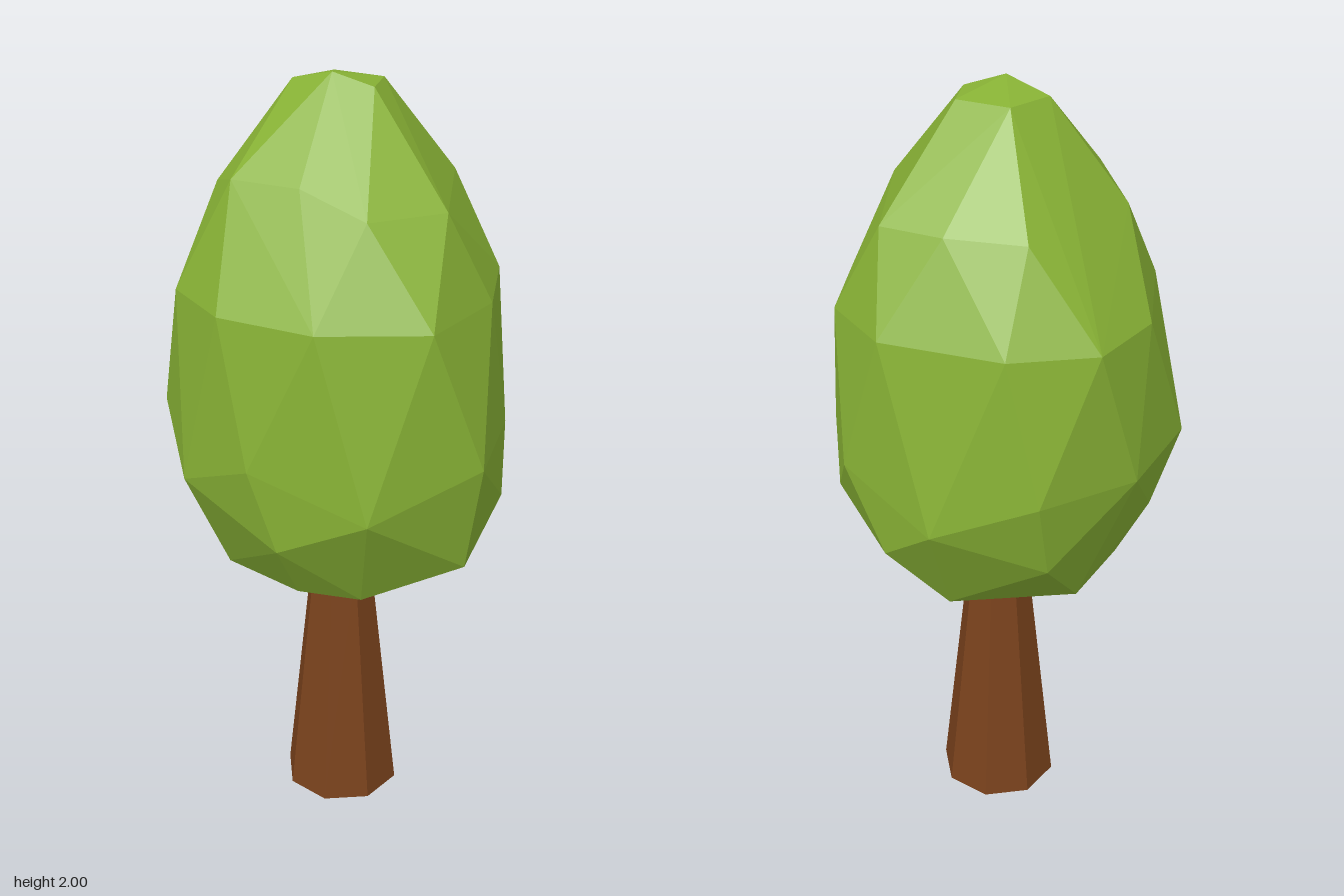
import * as THREE from 'three';
import { ConvexGeometry } from 'three/addons/geometries/ConvexGeometry.js';

const material = (color) => new THREE.MeshStandardMaterial({ color, flatShading: true });

// Irregular horizontal rings of the crown: height, then [x, z] corners
const crownRings = [
  [0.75, [[-0.31, -0.05], [-0.22, 0.17], [-0.10, 0.28], [0.26, 0.16], [0.24, -0.17], [-0.05, -0.31], [-0.25, -0.20]]],
  [0.84, [[0.13, 0.39]]],
  [0.92, [[-0.31, 0.24], [0.335, 0.235], [0.39, -0.12], [0.10, -0.40], [-0.30, -0.27]]],
  [1.03, [[-0.155, 0.41], [-0.435, -0.025], [0.35, -0.27]]],
  [1.13, [[0.135, 0.45], [-0.365, 0.20], [0.335, 0.235], [0.435, -0.01], [0.15, -0.435], [-0.12, -0.445], [-0.37, -0.295]]],
  [1.49, [[0, 0.43], [0.23, 0.31], [0.385, 0.10], [0.39, -0.12], [0.20, -0.365], [0, -0.45],
    [-0.20, -0.365], [-0.395, -0.12], [-0.385, 0.10], [-0.24, 0.31]]],
  [1.72, [[-0.09, 0.28], [0.11, 0.295], [0.32, -0.02], [0.235, -0.16], [0.10, -0.30], [-0.245, -0.195]]],
  [1.77, [[-0.285, -0.02], [-0.18, 0.125]]],
  [1.97, [[0.105, 0], [0.03, 0.09], [0.035, -0.12], [-0.09, -0.09]]],
  [2.0, [[-0.045, 0.025]]],
];

export function createModel() {
  const tree = new THREE.Group();
  tree.name = 'tree';

  // Tapered eight-sided trunk
  const trunkHeight = 0.69;
  const trunk = new THREE.Mesh(new THREE.CylinderGeometry(0.083, 0.158, trunkHeight, 8), material(0x7a421c));
  trunk.name = 'trunk';
  trunk.position.set(-0.003, trunkHeight / 2, -0.012);
  tree.add(trunk);

  // Faceted egg-shaped crown with a small flat underside around the trunk
  const points = crownRings.flatMap(([y, corners]) => corners.map(([x, z]) => new THREE.Vector3(x, y, z)));
  for (let i = 0; i < 8; i++) {
    const a = (i * Math.PI) / 4;
    points.push(new THREE.Vector3(0.085 * Math.sin(a), 0.68, 0.085 * Math.cos(a) - 0.01));
  }
  const crown = new THREE.Mesh(new ConvexGeometry(points), material(0x88b235));
  crown.name = 'crown';
  tree.add(crown);

  return tree;
}
